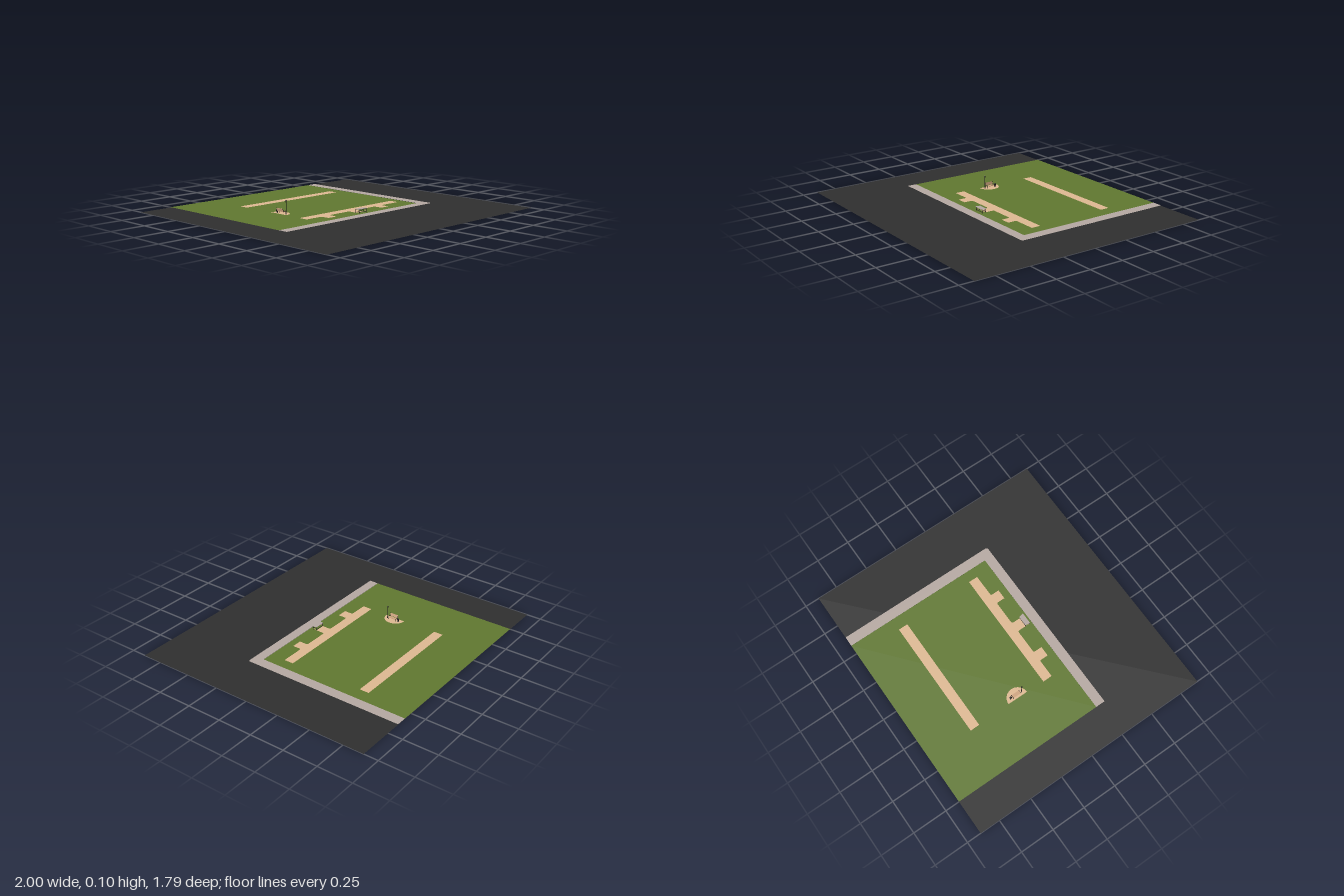
import * as THREE from 'three';

const mat = (name, color, side = THREE.FrontSide) => {
  const m = new THREE.MeshStandardMaterial({ color, side });
  m.name = name;
  return m;
};

export function createModel() {
  const root = new THREE.Group();
  root.name = 'parkCorner';
  const asphalt = mat('asphalt', 0x303030, THREE.DoubleSide);
  const grass = mat('grass', 0x617931);
  const concrete = mat('concrete', 0xb7aaa3);
  const sand = mat('sandPaving', 0xe0ba93);
  const wood = mat('wood', 0xcfa580);
  const iron = mat('darkIron', 0x1c1a1a);

  const add = (name, geo, material, x = 0, y = 0, z = 0, parent = root) => {
    const m = new THREE.Mesh(geo, material);
    m.name = name;
    m.position.set(x, y, z);
    parent.add(m);
    return m;
  };
  const box = (name, w, h, d, material, x, y, z, parent) =>
    add(name, new THREE.BoxGeometry(w, h, d), material, x, y, z, parent);
  // Thin sheet from a plan outline drawn as (x, -z), facing up only
  const sheet = (name, shape, y, material) => {
    const g = new THREE.ShapeGeometry(shape, 16);
    g.rotateX(-Math.PI / 2);
    return add(name, g, material, 0, y, 0);
  };
  const rect = (x0, x1, z0, z1) => new THREE.Shape([
    new THREE.Vector2(x0, -z1), new THREE.Vector2(x1, -z1),
    new THREE.Vector2(x1, -z0), new THREE.Vector2(x0, -z0)]);
  const group = (name, x, y, z) => {
    const g = new THREE.Group();
    g.name = name;
    g.position.set(x, y, z);
    root.add(g);
    return g;
  };

  // Ground layers
  sheet('road', rect(-1, 1, -0.897, 0.894), 0, asphalt);
  sheet('lawn', rect(-0.75, 0.57, -0.897, 0.222), 0.002, grass);

  // L-shaped pavement with a rounded outer corner
  const walk = new THREE.Shape();
  walk.moveTo(-0.75, -0.222);
  walk.lineTo(-0.75, -0.292);
  walk.lineTo(0.625, -0.292);
  walk.quadraticCurveTo(0.644, -0.292, 0.644, -0.273);
  walk.lineTo(0.644, 0.897);
  walk.lineTo(0.57, 0.897);
  walk.lineTo(0.57, -0.222);
  walk.closePath();
  sheet('pavement', walk, 0.003, concrete);

  // Front path with three flared spurs
  const path = new THREE.Shape();
  const r = 0.012;
  path.moveTo(-0.4, -0.035);
  path.lineTo(-0.4, -0.104);
  for (const [a, b] of [[-0.264, -0.19], [-0.003, 0.069], [0.253, 0.325]]) {
    path.lineTo(a - r, -0.104);
    path.quadraticCurveTo(a, -0.104, a, -0.104 - r);
    path.lineTo(a, -0.169);
    path.lineTo(b, -0.169);
    path.lineTo(b, -0.104 - r);
    path.quadraticCurveTo(b, -0.104, b + r, -0.104);
  }
  path.lineTo(0.496, -0.104);
  path.lineTo(0.496, -0.035);
  path.closePath();
  sheet('frontPath', path, 0.005, sand);
  sheet('backPath', rect(-0.4, 0.48, -0.564, -0.495), 0.005, sand);

  // Half-round seating area
  const half = new THREE.Shape();
  half.absarc(-0.395, 0.175, 0.076, -Math.PI / 2, Math.PI / 2, false);
  half.closePath();
  sheet('seatingArea', half, 0.005, sand);

  // Bench facing +x
  const bench = group('bench', -0.37, 0.005, -0.172);
  box('seat', 0.022, 0.0025, 0.06, wood, 0.001, 0.013, 0, bench);
  box('backrest', 0.0025, 0.02, 0.06, wood, -0.0145, 0.026, 0, bench).rotation.z = 0.25;
  for (const s of [-1, 1]) {
    const z = s * 0.031;
    box('frontFoot', 0.002, 0.018, 0.002, iron, 0.011, 0.009, z, bench);
    box('backFoot', 0.002, 0.018, 0.002, iron, -0.011, 0.009, z, bench);
    box('armrest', 0.024, 0.002, 0.002, iron, 0, 0.019, z, bench);
    box('backSupport', 0.002, 0.02, 0.002, iron, -0.0145, 0.026, z, bench).rotation.z = 0.25;
  }

  // Street lamp
  const cyl = (name, a, b, h, y, material, parent) =>
    add(name, new THREE.CylinderGeometry(a, b, h, 12), material, 0, y, 0, parent);
  const lamp = group('lamp', -0.37, 0.004, -0.127);
  cyl('lampBase', 0.003, 0.005, 0.008, 0.004, iron, lamp);
  cyl('lampPole', 0.0016, 0.002, 0.078, 0.045, iron, lamp);
  cyl('lampHead', 0.005, 0.0025, 0.01, 0.087, iron, lamp);
  cyl('lampCap', 0.0008, 0.0055, 0.005, 0.0945, iron, lamp);

  // Litter bin
  const bin = group('bin', -0.37, 0.005, -0.216);
  cyl('binFoot', 0.005, 0.007, 0.003, 0.0015, iron, bin);
  cyl('binBody', 0.008, 0.005, 0.016, 0.011, iron, bin);
  cyl('binLid', 0.003, 0.008, 0.004, 0.021, iron, bin);

  // Small open-framed stand at the end of the middle spur, wider at the front
  const stand = group('stand', 0.033, 0.003, 0.184);
  const top = new THREE.BoxGeometry(0.086, 0.002, 0.036);
  const p = top.attributes.position;
  for (let i = 0; i < p.count; i++) if (p.getZ(i) < 0) p.setX(i, p.getX(i) * 0.86);
  add('standTop', top, concrete, 0, 0.0275, 0, stand);
  for (const s of [-1, 1]) {
    box('topRail', 0.076, 0.002, 0.002, iron, 0, 0.0255, s * 0.015, stand);
    box('lowRail', 0.074, 0.002, 0.002, iron, 0, 0.008, s * 0.015, stand);
    box('sideRail', 0.002, 0.002, 0.03, wood, s * 0.036, 0.008, 0, stand);
    for (const t of [-1, 1]) box('standLeg', 0.0025, 0.028, 0.0025, iron, s * 0.036, 0.013, t * 0.015, stand);
  }
  return root;
}
